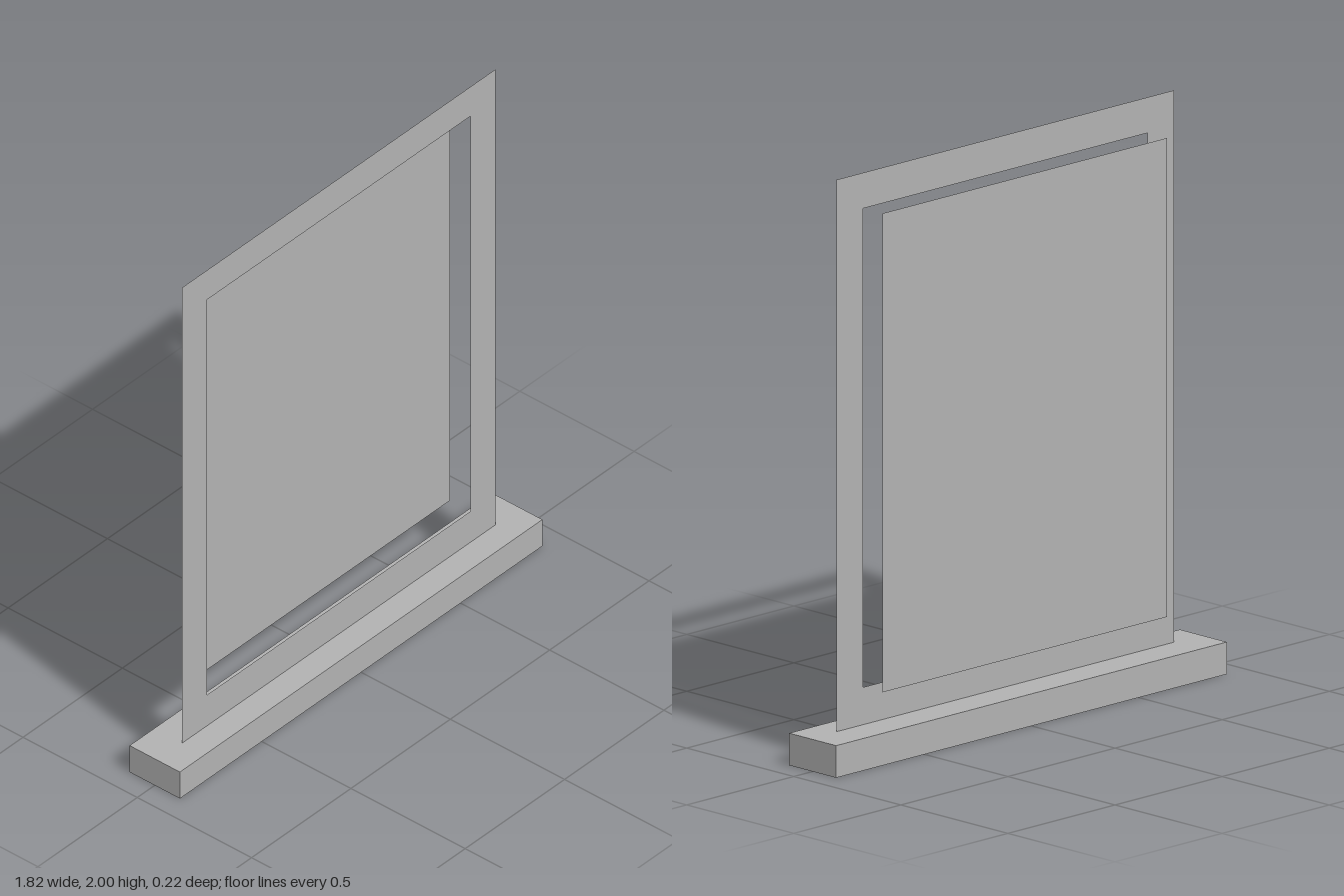
import * as THREE from 'three';

const WIDTH = 1.576, TOP = 2, BASE_H = 0.11;
const OPEN_W = 1.328, OPEN_BOTTOM = 0.238, OPEN_TOP = 1.878;
const FRAME_Z = 0.012, PANEL_Z = -0.078;

// Rectangle centred on x = 0, as a list of corners
const rect = (w, y0, y1) => [
  new THREE.Vector2(-w / 2, y0), new THREE.Vector2(w / 2, y0),
  new THREE.Vector2(w / 2, y1), new THREE.Vector2(-w / 2, y1),
];

export function createModel() {
  const group = new THREE.Group();
  const grey = new THREE.MeshStandardMaterial({ color: 0xb2b2b2, side: THREE.DoubleSide });
  grey.name = 'grey';

  const add = (name, geometry, y, z) => {
    const mesh = new THREE.Mesh(geometry, grey);
    mesh.name = name;
    mesh.position.set(0, y, z);
    group.add(mesh);
  };

  // Solid sill at the bottom
  add('sill', new THREE.BoxGeometry(1.824, BASE_H, 0.22), BASE_H / 2, 0);

  // Flat frame with a rectangular opening
  const outline = new THREE.Shape(rect(WIDTH, BASE_H, TOP));
  outline.holes.push(new THREE.Path(rect(OPEN_W, OPEN_BOTTOM, OPEN_TOP).reverse()));
  add('frame', new THREE.ShapeGeometry(outline), 0, FRAME_Z);

  // Flat pane set back behind the opening, the same size as it
  add('pane', new THREE.PlaneGeometry(OPEN_W, OPEN_TOP - OPEN_BOTTOM),
    (OPEN_TOP + OPEN_BOTTOM) / 2, PANEL_Z);

  return group;
}
